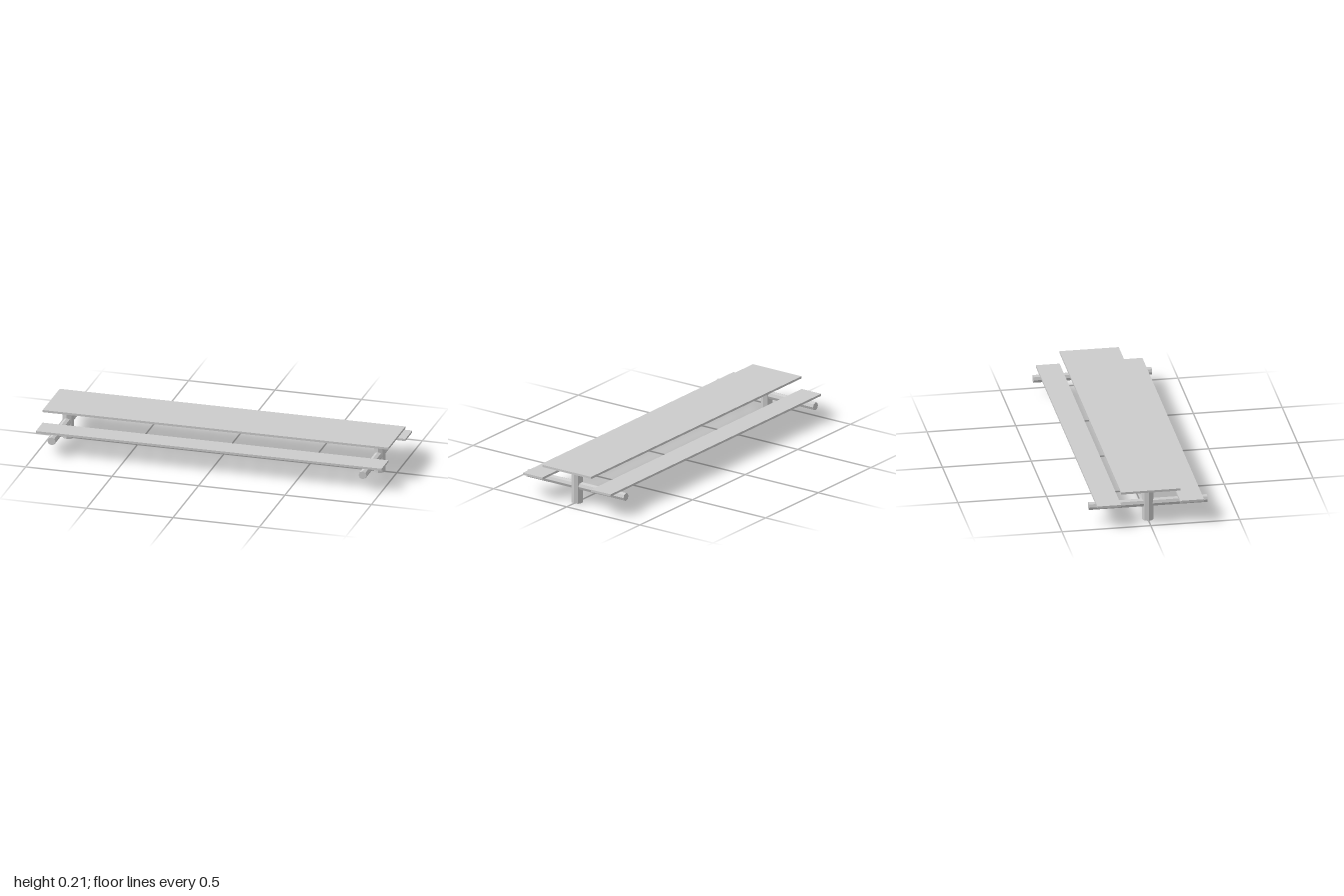
import * as THREE from 'three';

// Low-poly picnic table: long top, two bench seats, two posts with cross beams
export function createModel() {
  const table = new THREE.Group();
  table.name = 'picnicTable';
  const material = new THREE.MeshStandardMaterial({ color: 0xcccccc, flatShading: true });

  const add = (name, geometry, x, y, z) => {
    const mesh = new THREE.Mesh(geometry, material);
    mesh.name = name;
    mesh.position.set(x, y, z);
    table.add(mesh);
    return mesh;
  };

  const thickness = 0.0125;
  const board = (width) => new THREE.BoxGeometry(2, thickness, width);

  // Table top
  add('tableTop', board(0.3333), 0, 0.2 + thickness / 2, 0);

  // Bench seats, front and back
  for (const [name, side] of [['frontSeat', 1], ['backSeat', -1]]) {
    add(name, board(0.1333), 0, 0.125 + thickness / 2, side * 0.2333);
  }

  // Octagonal posts and the beams that carry the seats
  for (const [label, side] of [['left', 1], ['right', -1]]) {
    const x = side * 0.9;
    add(label + 'Post', new THREE.CylinderGeometry(0.0333, 0.0333, 0.2, 8), x, 0.1, 0);
    const beam = new THREE.CylinderGeometry(0.0233, 0.0233, 0.6667, 8).rotateX(Math.PI / 2);
    add(label + 'Beam', beam, x, 0.1, 0);
  }

  return table;
}
